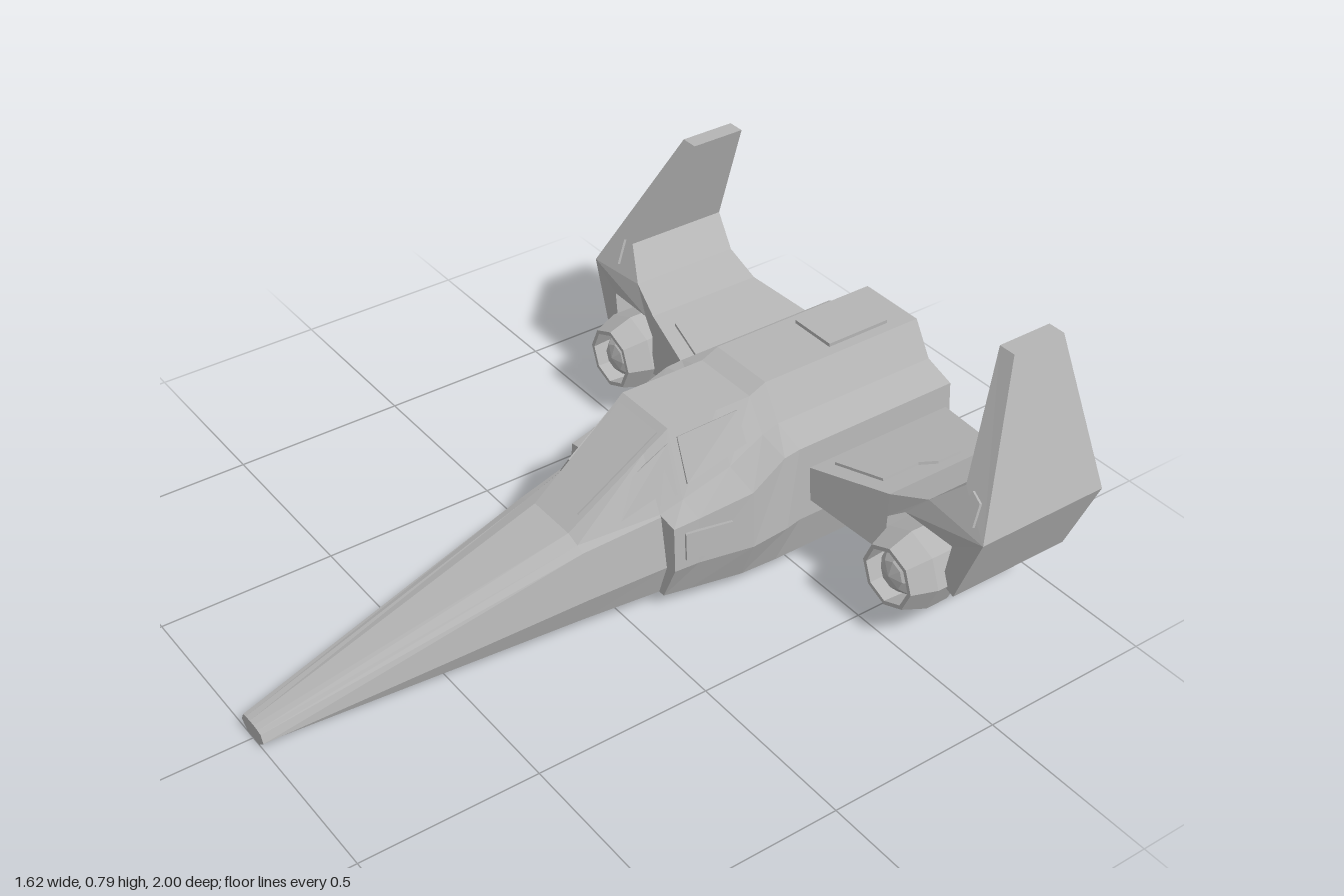
import * as THREE from 'three';

const hullGrey = new THREE.MeshStandardMaterial({ color: 0xb4b4b4 });
hullGrey.name = 'hull grey';

// Flat-faceted skin through rings of [x, y, z] points (counterclockwise seen from the first ring)
function skin(rings, capFirst = true, capLast = true) {
  const out = [];
  const tri = (a, b, c) => out.push(...a, ...b, ...c);
  for (let r = 0; r + 1 < rings.length; r++) {
    const A = rings[r], B = rings[r + 1];
    A.forEach((p, i) => {
      const j = (i + 1) % A.length;
      tri(p, B[i], B[j]);
      tri(p, B[j], A[j]);
    });
  }
  const first = rings[0], last = rings[rings.length - 1];
  for (let i = 1; i + 1 < first.length; i++) {
    if (capFirst) tri(first[0], first[i], first[i + 1]);
    if (capLast) tri(last[0], last[i + 1], last[i]);
  }
  const g = new THREE.BufferGeometry();
  g.setAttribute('position', new THREE.Float32BufferAttribute(out, 3));
  g.computeVertexNormals();
  return g;
}

// Symmetric cross-section from its right half, bottom to top
function section(z, half) {
  const right = half.map(([x, y]) => [x, y, z]);
  return [...right, ...right.map(([x, y]) => [-x, y, z]).reverse()];
}

// Raised plate on a convex polygon, counterclockwise seen from outside
function plate(pts, t = 0.008) {
  const v = pts.map(p => new THREE.Vector3(...p));
  const n = v[1].clone().sub(v[0]).cross(v[2].clone().sub(v[0])).normalize();
  const shift = d => v.map(p => p.clone().addScaledVector(n, d).toArray());
  return skin([shift(t), shift(-0.01)]);
}

function flat(g) {
  const f = g.index ? g.toNonIndexed() : g;
  f.computeVertexNormals();
  return f;
}

// Mirror a flat geometry across x, keeping faces outward
function mirrored(g) {
  const p = g.attributes.position, out = [];
  for (let i = 0; i < p.count; i += 3)
    for (const k of [i, i + 2, i + 1]) out.push(-p.getX(k), p.getY(k), p.getZ(k));
  const m = new THREE.BufferGeometry();
  m.setAttribute('position', new THREE.Float32BufferAttribute(out, 3));
  m.computeVertexNormals();
  return m;
}

// Wing pieces: a front outline extruded, then swept by moving its front and back faces
function sweptPiece(outline) {
  const shape = new THREE.Shape(outline.map(p => new THREE.Vector2(...p)));
  const g = new THREE.ExtrudeGeometry(shape, { depth: 1, bevelEnabled: false });
  const p = g.attributes.position, lerp = THREE.MathUtils.mapLinear;
  for (let i = 0; i < p.count; i++) {
    const x = p.getX(i), y = p.getY(i);
    let front = lerp(Math.min(x, 0.6), 0.24, 0.6, -0.51, -0.59);
    let back = x <= 0.5 ? lerp(x, 0.24, 0.5, -0.99, -0.93) : lerp(Math.max(x, 0.61), 0.61, 0.81, -0.93, -0.995);
    if (y > 0.4) front = -0.59 - 0.48 * (y - 0.4);
    if (y > 0.45) back = -0.945;
    p.setZ(i, p.getZ(i) > 0.5 ? front : back);
  }
  return flat(g);
}

// Eight-sided lathe around the z axis; profile points are [radius, z], back to front
function podLathe(profile) {
  const g = new THREE.LatheGeometry(profile.map(([r, z]) => new THREE.Vector2(r, z)), 8);
  return flat(g.rotateX(Math.PI / 2).translate(0.597, 0.203, 0));
}

export function createModel() {
  const model = new THREE.Group();
  model.name = 'fighterCraft';
  const add = (name, g) => {
    const m = new THREE.Mesh(g, hullGrey);
    m.name = name;
    model.add(m);
  };
  const pair = (name, g) => {
    add(name + 'Left', g);
    add(name + 'Right', mirrored(g));
  };
  const box = (w, h, d, x, y, z) => flat(new THREE.BoxGeometry(w, h, d).translate(x, y, z));

  // Long tapering nose rising into the windshield
  add('nose', skin([
    section(1, [[0.03, 0.003], [0.055, 0.025], [0.045, 0.047], [0.03, 0.05], [0.01, 0.052]]),
    section(0.12, [[0.14, 0.043], [0.166, 0.125], [0.14, 0.26], [0.115, 0.27], [0.075, 0.283]]),
    section(-0.1, [[0.17, 0.05], [0.2, 0.15], [0.17, 0.295], [0.165, 0.3], [0.09, 0.447]]),
  ], true, false));

  // Main hull with cabin and spine, turning inward at the tail to form the engine bay
  const rear = [[0.24, 0.05], [0.27, 0.18], [0.25, 0.395], [0.16, 0.425], [0.1, 0.52]];
  const inset = rear.map(([x, y]) => [x * 0.87, 0.285 + (y - 0.285) * 0.87]);
  add('hull', skin([
    section(-0.1, [[0.19, 0.05], [0.235, 0.16], [0.225, 0.29], [0.165, 0.3], [0.09, 0.447]]),
    section(-0.17, [[0.205, 0.05], [0.245, 0.165], [0.235, 0.3], [0.168, 0.32], [0.097, 0.5]]),
    section(-0.32, [[0.235, 0.05], [0.28, 0.17], [0.265, 0.335], [0.168, 0.36], [0.1, 0.497]]),
    section(-0.43, [[0.24, 0.05], [0.28, 0.18], [0.252, 0.39], [0.16, 0.41], [0.1, 0.497]]),
    section(-0.48, rear),
    section(-1, rear),
    section(-1, inset),
    section(-0.89, inset),
  ]));

  // Raised windows and hatches
  add('windshield', plate([[-0.06, 0.315, 0.08], [0.06, 0.315, 0.08], [0.08, 0.485, -0.15], [-0.08, 0.485, -0.15]], 0.004));
  add('spineHatch', box(0.14, 0.02, 0.2, 0, 0.52, -0.82));
  pair('frontSideWindow', plate([[0.131, 0.299, 0], [0.157, 0.335, -0.16], [0.108, 0.465, -0.16], [0.092, 0.359, 0]], 0.004));
  pair('rearSideWindow', plate([[0.157, 0.354, -0.19], [0.154, 0.4, -0.38], [0.11, 0.479, -0.38], [0.108, 0.473, -0.19]], 0.004));
  pair('sideHatch', plate([[0.238, 0.19, -0.13], [0.264, 0.19, -0.26], [0.257, 0.27, -0.26], [0.231, 0.27, -0.13]]));

  // Wings with a notch over the pod, and upswept fins
  pair('wing', sweptPiece([[0.22, 0.235], [0.5, 0.18], [0.5, 0.37], [0.22, 0.32]]));
  pair('wingElbow', sweptPiece([
    [0.5, 0.3], [0.55, 0.34], [0.71, 0.33], [0.69, 0.2], [0.735, 0.185], [0.81, 0.395], [0.61, 0.41], [0.5, 0.37],
  ]));
  pair('fin', sweptPiece([[0.61, 0.41], [0.81, 0.395], [0.655, 0.795], [0.605, 0.795], [0.69, 0.49]]));

  // Wing panels and fin lamps
  const panel = [[0.29, -0.57], [0.44, -0.6], [0.44, -0.72], [0.47, -0.76], [0.47, -0.84], [0.29, -0.91]];
  pair('wingPanel', plate(panel.map(([x, z]) => [x, 0.32 + 0.179 * (x - 0.22), z])));
  pair('finLamp', plate([[0.708, 0.425, -0.602], [0.765, 0.42, -0.6], [0.755, 0.475, -0.626], [0.72, 0.49, -0.633]]));

  // Engine pods with hollow intake and nozzle, joined to the wings
  pair('enginePod', podLathe([
    [0.001, -0.9], [0.05, -0.9], [0.06, -0.97], [0.08, -0.965], [0.095, -0.83], [0.1, -0.65], [0.115, -0.63],
    [0.115, -0.56], [0.09, -0.49], [0.078, -0.49], [0.084, -0.57], [0.001, -0.57],
  ]));
  pair('intakeBulb', flat(new THREE.SphereGeometry(0.08, 8, 6).rotateX(Math.PI / 2).translate(0.597, 0.203, -0.575)));
  pair('podPylon', box(0.13, 0.15, 0.26, 0.56, 0.275, -0.79));

  // Engine bay: stacked wide exhausts, crossbars, side pipes and top cluster
  for (const y of [0.17, 0.3]) {
    const exhaust = new THREE.CylinderGeometry(0.1, 0.085, 0.09, 10, 1).rotateX(Math.PI / 2);
    add('exhaust', flat(exhaust.scale(1.25, 0.45, 1).translate(0, y, -0.925)));
    add('exhaustBar', box(0.3, 0.02, 0.06, 0, y + 0.063, -0.915));
  }
  pair('bayPipe', flat(new THREE.CylinderGeometry(0.016, 0.016, 0.26, 6).translate(0.175, 0.24, -0.93)));
  for (const x of [-0.045, 0, 0.045])
    add('topVent', box(0.03, 0.05, 0.08, x, 0.43, -0.92));

  return model;
}
